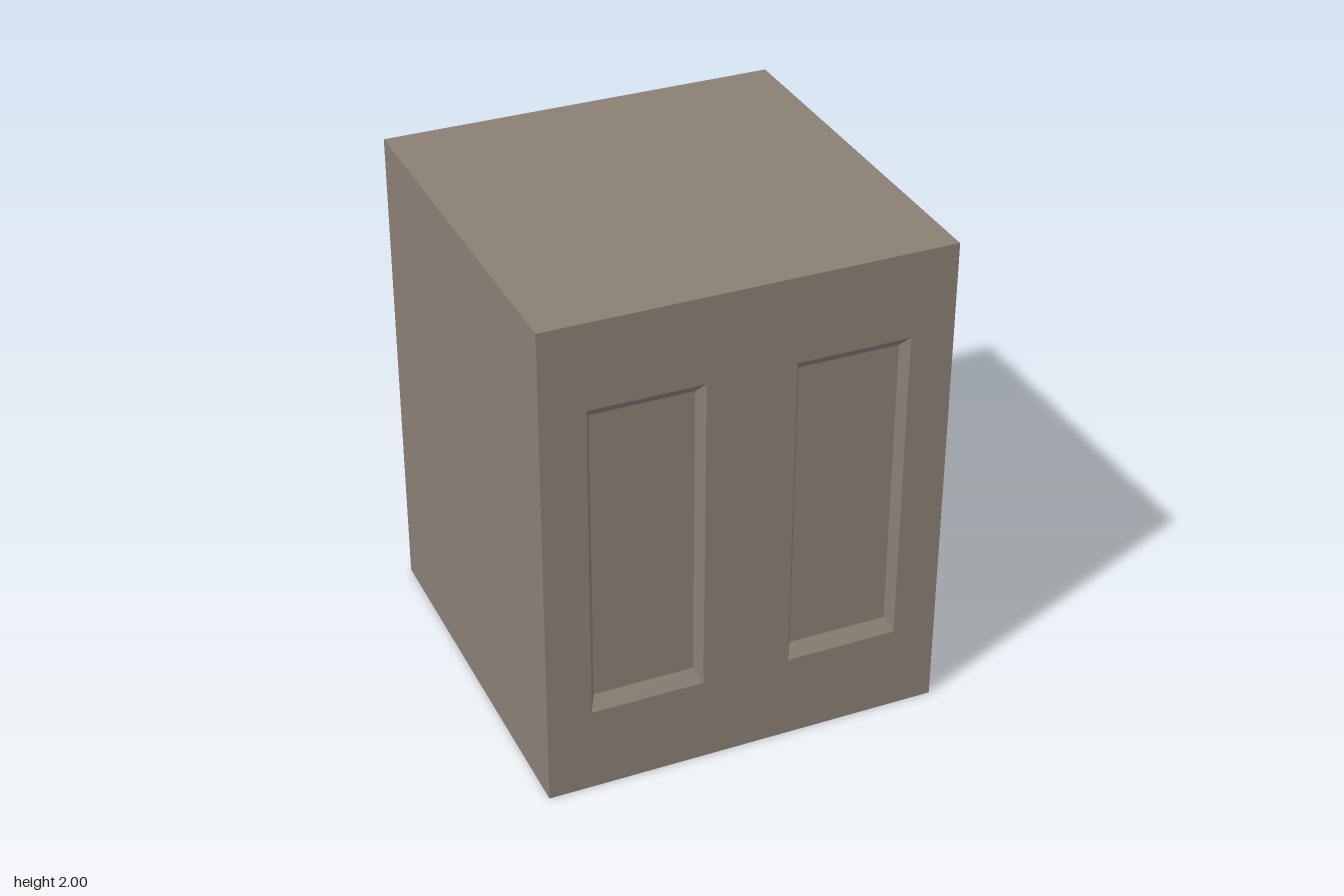
import * as THREE from 'three';

const W = 1.6, H = 2, D = 1.6, FRONT = D / 2, DEPTH = 0.04;
// panel opening at the face and at the recessed floor
const OUTER = { half: 0.225, bottom: 0.35, top: 1.655 };
const INNER = { half: 0.2, bottom: 0.4, top: 1.61 };
const CENTRES = [-0.4, 0.4];

// corners of a panel rectangle, anticlockwise seen from the front
const corners = (r, cx) => [
  [cx - r.half, r.bottom], [cx + r.half, r.bottom],
  [cx + r.half, r.top], [cx - r.half, r.top],
];
const toPoints = (list) => list.map(([x, y]) => new THREE.Vector2(x, y));

// sloping walls and floor of one recess
function recessGeometry(cx) {
  const outer = corners(OUTER, cx).map(([x, y]) => [x, y, FRONT]);
  const inner = corners(INNER, cx).map(([x, y]) => [x, y, FRONT - DEPTH]);
  const positions = [];
  const quad = (a, b, c, d) => positions.push(...a, ...b, ...c, ...a, ...c, ...d);
  for (let i = 0; i < 4; i++) {
    const j = (i + 1) % 4;
    quad(outer[i], outer[j], inner[j], inner[i]);
  }
  quad(...inner);
  const geometry = new THREE.BufferGeometry();
  geometry.setAttribute('position', new THREE.Float32BufferAttribute(positions, 3));
  geometry.computeVertexNormals();
  return geometry;
}

export function createModel() {
  const group = new THREE.Group();
  group.name = 'panelledBlock';
  const material = new THREE.MeshStandardMaterial({ color: 0x8b7f74 });
  const add = (name, geometry) => {
    const mesh = new THREE.Mesh(geometry, material);
    mesh.name = name;
    group.add(mesh);
    return mesh;
  };

  // block, left open at the front
  const box = new THREE.BoxGeometry(W, H, D);
  const index = Array.from(box.index.array);
  index.splice(24, 6);
  box.setIndex(index);
  box.clearGroups();
  add('body', box).position.y = H / 2;

  // front face with the two panel openings
  const face = new THREE.Shape(toPoints([[-W / 2, 0], [W / 2, 0], [W / 2, H], [-W / 2, H]]));
  for (const cx of CENTRES) face.holes.push(new THREE.Path(toPoints(corners(OUTER, cx)).reverse()));
  add('frontFace', new THREE.ShapeGeometry(face)).position.z = FRONT;

  // recessed panels
  for (const cx of CENTRES) add(cx > 0 ? 'leftPanel' : 'rightPanel', recessGeometry(cx));

  return group;
}
